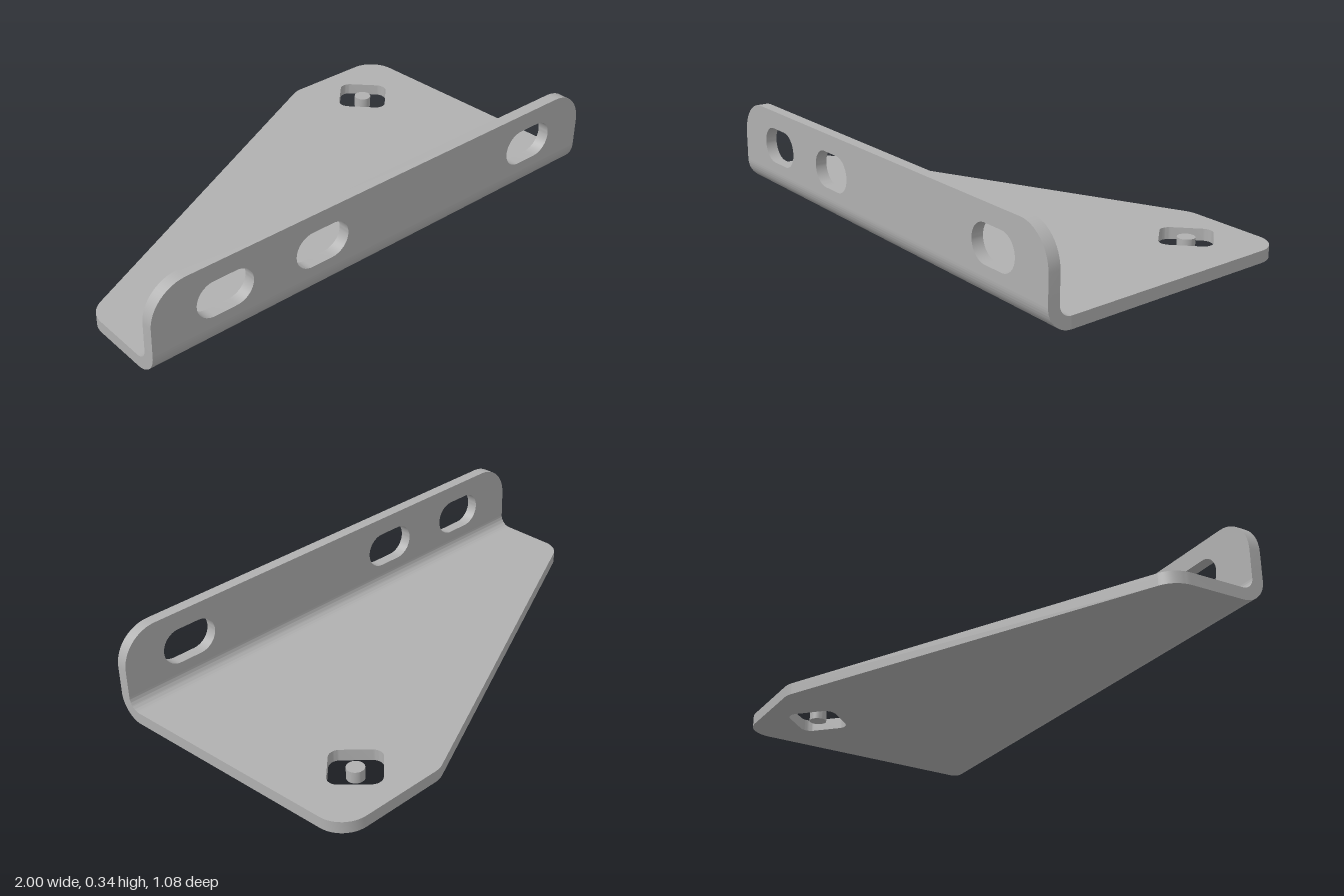
import * as THREE from 'three';
import { toCreasedNormals } from 'three/addons/utils/BufferGeometryUtils.js';

const T = 0.045;      // sheet thickness
const R = 0.09;       // outer bend radius
const FRONT = 0.54;   // front face of the flange
const SEAM_Z = FRONT - R;

// Closed outline through corners [x, y, radius], each corner filleted
function roundedOutline(corners, Path = THREE.Shape) {
  const points = [];
  corners.forEach(([x, y, r = 0], i) => {
    const p = new THREE.Vector2(x, y);
    if (!r) { points.push(p); return; }
    const n = corners.length;
    const a = new THREE.Vector2(...corners[(i + n - 1) % n]).sub(p).normalize();
    const b = new THREE.Vector2(...corners[(i + 1) % n]).sub(p).normalize();
    const half = Math.acos(a.dot(b)) / 2;
    const centre = a.clone().add(b).normalize().multiplyScalar(r / Math.sin(half)).add(p);
    const start = p.clone().addScaledVector(a, r / Math.tan(half)).sub(centre);
    const sweep = (Math.PI - 2 * half) * Math.sign(b.cross(a));
    for (let k = 0; k <= 12; k++) {
      points.push(start.clone().rotateAround(new THREE.Vector2(), sweep * k / 12).add(centre));
    }
  });
  return new Path(points);
}

// Leave out the hidden faces where two sections of the sheet join
function openSeams(geometry, onSeam) {
  const p = geometry.attributes.position;
  const kept = [];
  for (let i = 0; i < p.count; i += 3) {
    const corners = [i, i + 1, i + 2].map(j => new THREE.Vector3().fromBufferAttribute(p, j));
    if (!onSeam.some(test => corners.every(test))) corners.forEach(c => kept.push(c));
  }
  return new THREE.BufferGeometry().setFromPoints(kept);
}

export function createModel() {
  const model = new THREE.Group();
  model.name = 'bracket';
  const steel = new THREE.MeshStandardMaterial({ color: 0xb0b0b0 });
  steel.name = 'grey steel';

  const atPlateSeam = v => Math.abs(v.z - SEAM_Z) < 1e-4 && v.y < T + 1e-4;
  const atFlangeSeam = v => Math.abs(v.y - R) < 1e-4 && v.z > FRONT - T - 1e-4;
  const add = (name, geometry) => {
    const open = openSeams(geometry, [atPlateSeam, atFlangeSeam]);
    const mesh = new THREE.Mesh(toCreasedNormals(open, 0.5), steel);
    mesh.name = name;
    model.add(mesh);
  };
  const extrude = (shape, depth) =>
    new THREE.ExtrudeGeometry(shape, { depth, bevelEnabled: false, curveSegments: 24 });

  // Tapered base plate with a diamond opening
  const plate = roundedOutline([
    [-1, SEAM_Z], [-1, 0.175, 0.1], [0.49, -0.54, 0.1], [0.932, -0.54, 0.11], [1, SEAM_Z],
  ]);
  const cx = 0.68, cz = -0.33, d = 0.135;
  plate.holes.push(roundedOutline([
    [cx - d, cz, 0.04], [cx, cz + d, 0.04], [cx + d, cz, 0.04], [cx, cz - d, 0.04],
  ], THREE.Path));
  add('basePlate', extrude(plate, T).rotateX(Math.PI / 2).translate(0, T, 0));

  // Small pin standing in the middle of the opening
  add('pin', new THREE.CylinderGeometry(0.033, 0.033, T, 32).toNonIndexed().translate(cx, T / 2, cz));

  // Upright flange with three slots
  const flange = roundedOutline([[-1, R], [1, R], [1, 0.34, 0.14], [-1, 0.34, 0.14]]);
  const w = 0.115, h = 0.07;
  for (const x of [-0.71, -0.3, 0.72]) {
    flange.holes.push(roundedOutline([
      [x - w, 0.2 - h, h], [x - w, 0.2 + h, h], [x + w, 0.2 + h, h], [x + w, 0.2 - h, h],
    ], THREE.Path));
  }
  add('flange', extrude(flange, T).translate(0, 0, FRONT - T));

  // Quarter-round bend joining plate and flange
  const bend = new THREE.Shape();
  bend.absarc(SEAM_Z, R, R, -Math.PI / 2, 0, false);
  bend.absarc(SEAM_Z, R, R - T, 0, -Math.PI / 2, true);
  add('bend', extrude(bend, 2).rotateY(-Math.PI / 2).translate(1, 0, 0));

  return model;
}
